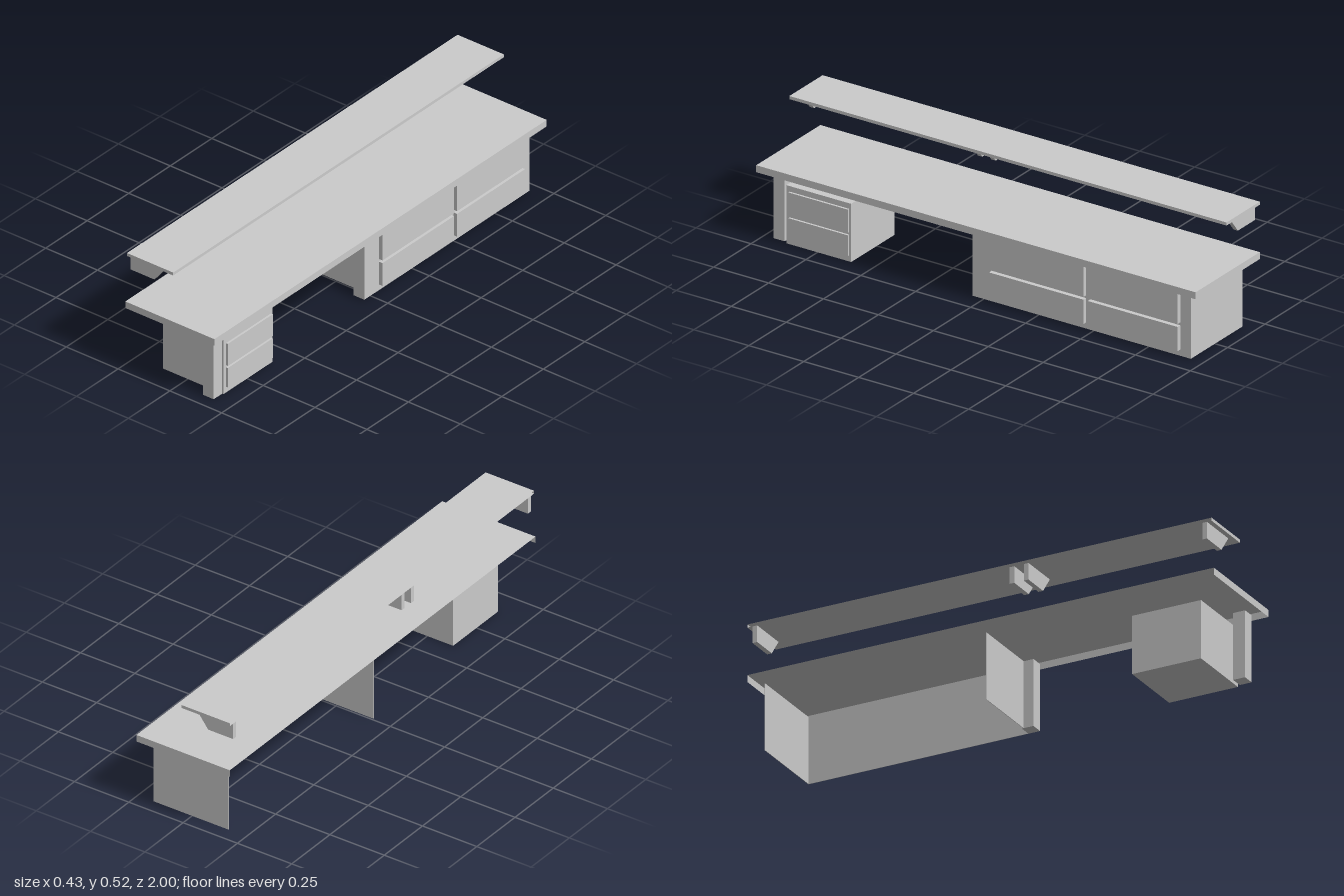
import * as THREE from 'three';

const material = new THREE.MeshStandardMaterial({
  color: 0xcccccc, flatShading: true, side: THREE.DoubleSide,
});

// Box sides in the order BoxGeometry lists them: +x, -x, +y, -y, +z, -z
const WALL_SIDE = 1;
const UNDERSIDE = 3;

// Box given by its min/max extents along each axis, with some sides left open
function block(parent, name, [x0, x1], [y0, y1], [z0, z1], open = []) {
  const geometry = new THREE.BoxGeometry(x1 - x0, y1 - y0, z1 - z0);
  const index = Array.from(geometry.index.array);
  geometry.setIndex(index.filter((_, i) => !open.includes(Math.floor(i / 6))));
  const mesh = new THREE.Mesh(geometry, material);
  mesh.position.set((x0 + x1) / 2, (y0 + y1) / 2, (z0 + z1) / 2);
  mesh.name = name;
  parent.add(mesh);
}

function group(parent, name) {
  const g = new THREE.Group();
  g.name = name;
  parent.add(g);
  return g;
}

export function createModel() {
  const model = new THREE.Group();
  model.name = 'deskWithShelf';

  // Long worktop: top with an edge on three sides
  block(model, 'worktop', [-0.215, 0.215], [0.284, 0.313], [-1, 1], [WALL_SIDE, UNDERSIDE]);

  // Wall shelf on four chamfered brackets
  const shelf = group(model, 'wallShelf');
  block(shelf, 'shelfBoard', [-0.215, 0.008], [0.51, 0.523], [-1, 0.99], [WALL_SIDE]);
  const profile = new THREE.Shape([
    [-0.215, 0.441], [-0.1, 0.441], [-0.047, 0.51], [-0.215, 0.51],
  ].map(([x, y]) => new THREE.Vector2(x, y)));
  const bracketGeometry = new THREE.ExtrudeGeometry(profile, { depth: 0.02, bevelEnabled: false });
  for (const z of [0.95, 0.185, 0.124, -0.978]) {
    const bracket = new THREE.Mesh(bracketGeometry, material);
    bracket.position.z = z;
    bracket.name = 'shelfBracket';
    shelf.add(bracket);
  }

  // Open-backed cabinet: front, two thin side panels and a corner post
  const cabinet = group(model, 'drawerCabinet');
  const height = [0.006, 0.284];
  block(cabinet, 'cabinetFront', [0.17, 0.172], height, [-0.949, 0]);
  block(cabinet, 'endPanel', [-0.173, 0.172], height, [-0.949, -0.947]);
  block(cabinet, 'innerPanel', [-0.173, 0.125], height, [0, 0.002]);
  block(cabinet, 'cabinetPost', [0.12, 0.172], height, [-0.006, 0.044]);
  for (const z of [[-0.473, -0.043], [-0.901, -0.492]]) {
    for (const y of [[0.032, 0.133], [0.145, 0.27]]) {
      block(cabinet, 'cabinetDrawerFront', [0.172, 0.19], y, z);
    }
  }

  // Leg post at the other end
  block(model, 'legPost', [0.12, 0.172], height, [0.9, 0.951]);

  // Free-standing pedestal with two drawers
  const pedestal = group(model, 'pedestal');
  block(pedestal, 'pedestalBody', [-0.119, 0.172], [0, 0.242], [0.597, 0.892]);
  for (const y of [[0.026, 0.112], [0.122, 0.219]]) {
    block(pedestal, 'pedestalDrawerFront', [0.172, 0.181], y, [0.606, 0.877]);
  }

  return model;
}
